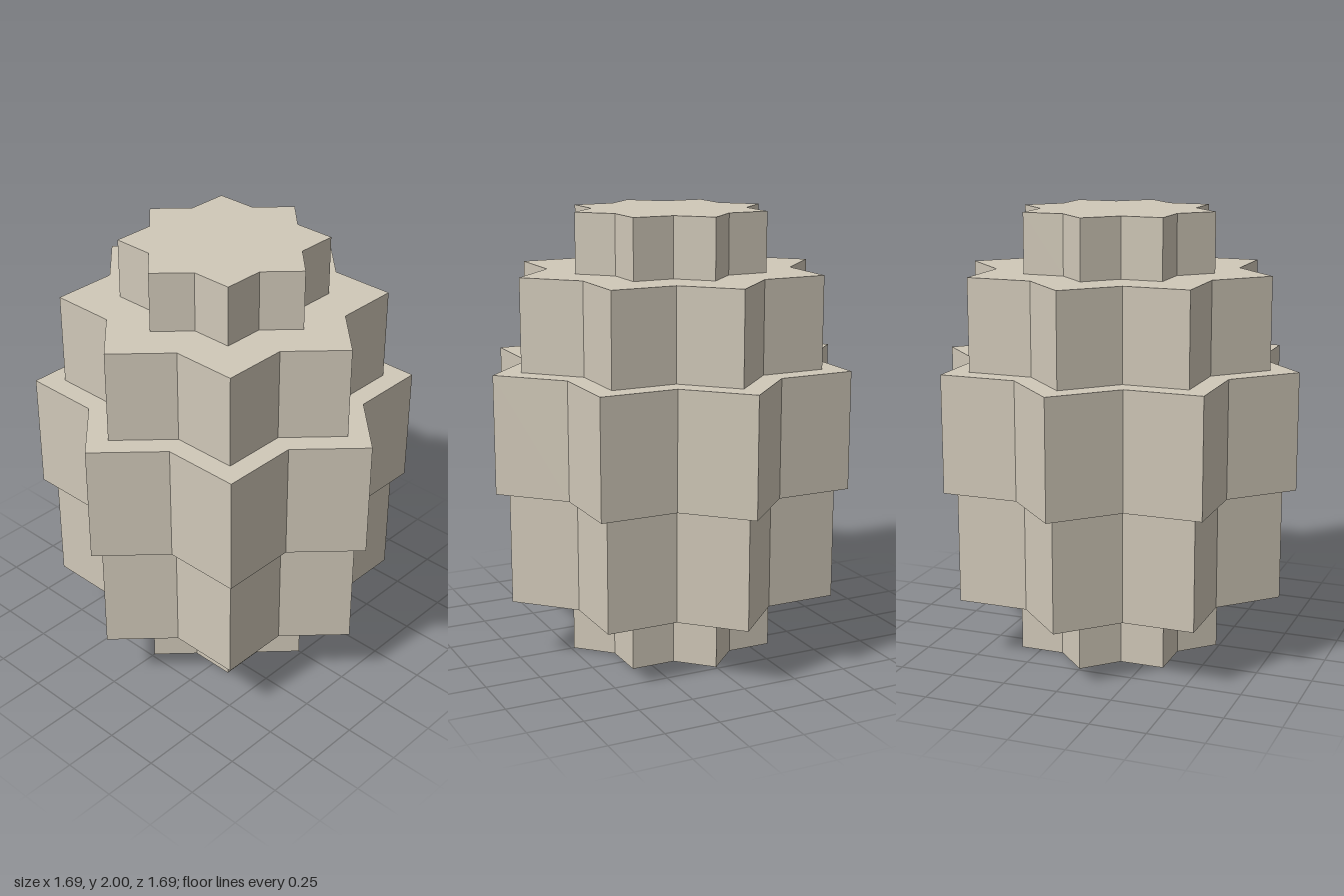
import * as THREE from 'three';

// Eight-pointed star made of two overlapping squares
function starShape(radius) {
  const notch = radius * Math.cos(Math.PI / 4) / Math.cos(Math.PI / 8);
  const points = [];
  for (let i = 0; i < 16; i++) {
    const r = i % 2 ? notch : radius;
    const a = i * Math.PI / 8;
    points.push(new THREE.Vector2(r * Math.cos(a), r * Math.sin(a)));
  }
  return new THREE.Shape(points);
}

export function createModel() {
  const model = new THREE.Group();
  model.name = 'tieredStar';
  const stone = new THREE.MeshStandardMaterial({ color: 0xd0c8b8 });
  stone.name = 'warm stone';

  // Stacked star prisms: name, bottom, top, point radius
  const tiers = [
    ['baseTier', 0, 0.273, 0.486],
    ['lowerTier', 0.273, 0.783, 0.78],
    ['middleTier', 0.783, 1.317, 0.844],
    ['upperTier', 1.317, 1.732, 0.713],
    ['topTier', 1.732, 2, 0.453],
  ];
  for (const [name, bottom, top, radius] of tiers) {
    const geometry = new THREE.ExtrudeGeometry(starShape(radius), {
      depth: top - bottom,
      bevelEnabled: false,
    });
    geometry.rotateX(-Math.PI / 2);
    const tier = new THREE.Mesh(geometry, stone);
    tier.name = name;
    tier.position.y = bottom;
    model.add(tier);
  }
  return model;
}
